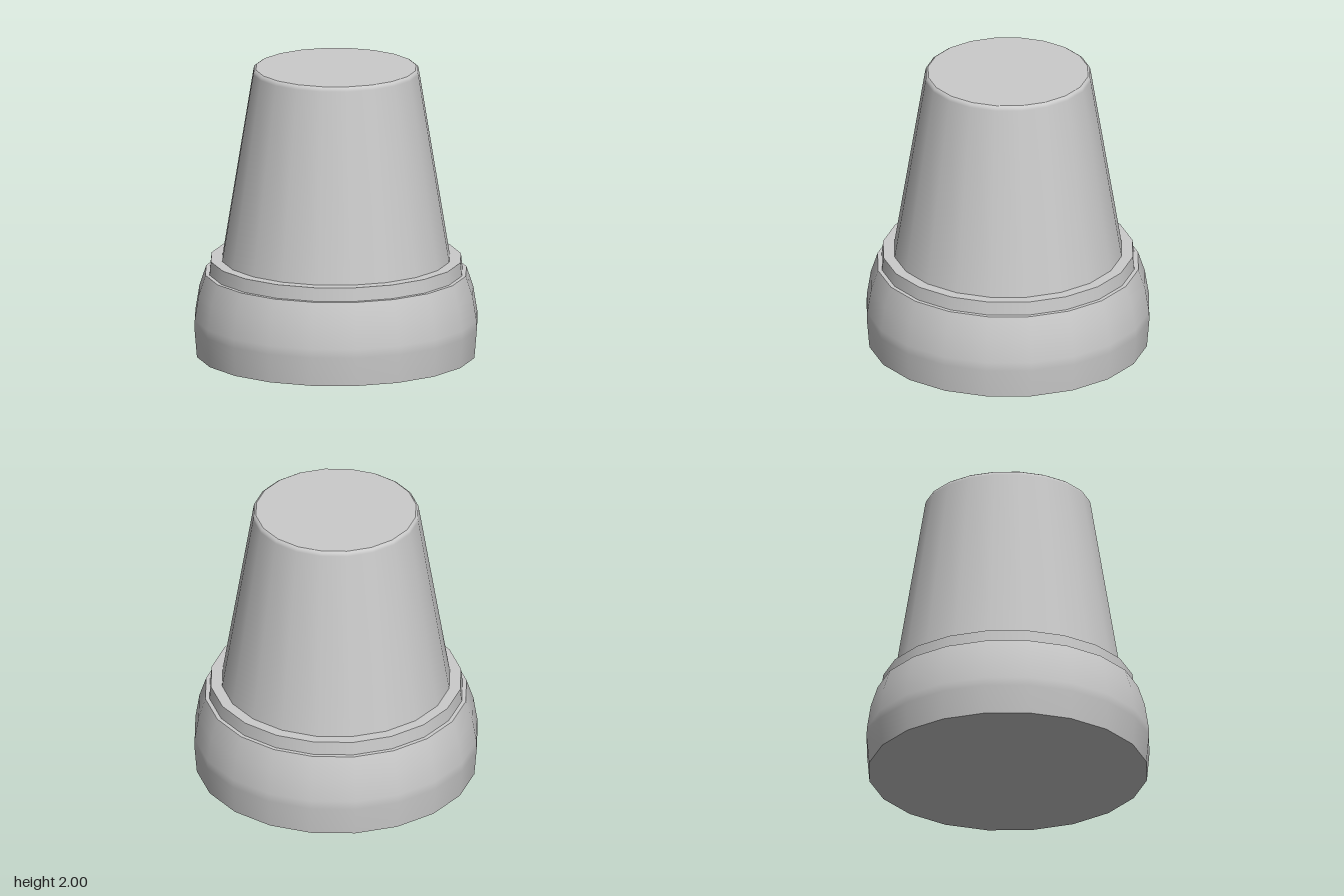
import * as THREE from 'three';

const SIDES = 20;
const material = new THREE.MeshStandardMaterial({ color: 0xcccccc });

// One smooth band of revolution; bands that meet keep a hard edge between them.
function band(name, profile) {
  const points = profile.map(([r, y]) => new THREE.Vector2(r, y));
  const mesh = new THREE.Mesh(new THREE.LatheGeometry(points, SIDES), material);
  mesh.name = name;
  return mesh;
}

function part(name, ...meshes) {
  const group = new THREE.Group();
  group.name = name;
  group.add(...meshes);
  return group;
}

export function createModel() {
  const model = new THREE.Group();
  model.name = 'taperedPlug';

  // Bulging foot with a flat underside and a narrow ledge on top
  model.add(part('base',
    band('baseUnderside', [[0, 0], [0.957, 0]]),
    band('baseWall', [[0.957, 0], [0.974, 0.2], [0.972, 0.26], [0.945, 0.43], [0.898, 0.572]]),
    band('baseLedge', [[0.898, 0.572], [0.87, 0.572]]),
  ));

  // Low collar
  model.add(part('collar',
    band('collarWall', [[0.87, 0.572], [0.86, 0.665]]),
    band('collarTop', [[0.86, 0.665], [0.783, 0.665]]),
  ));

  // Tapered body with a small rounded rim
  model.add(part('body',
    band('bodyWall', [[0.783, 0.665], [0.57, 1.97], [0.565, 1.99], [0.55, 2]]),
    band('bodyTop', [[0.55, 2], [0, 2]]),
  ));

  return model;
}
